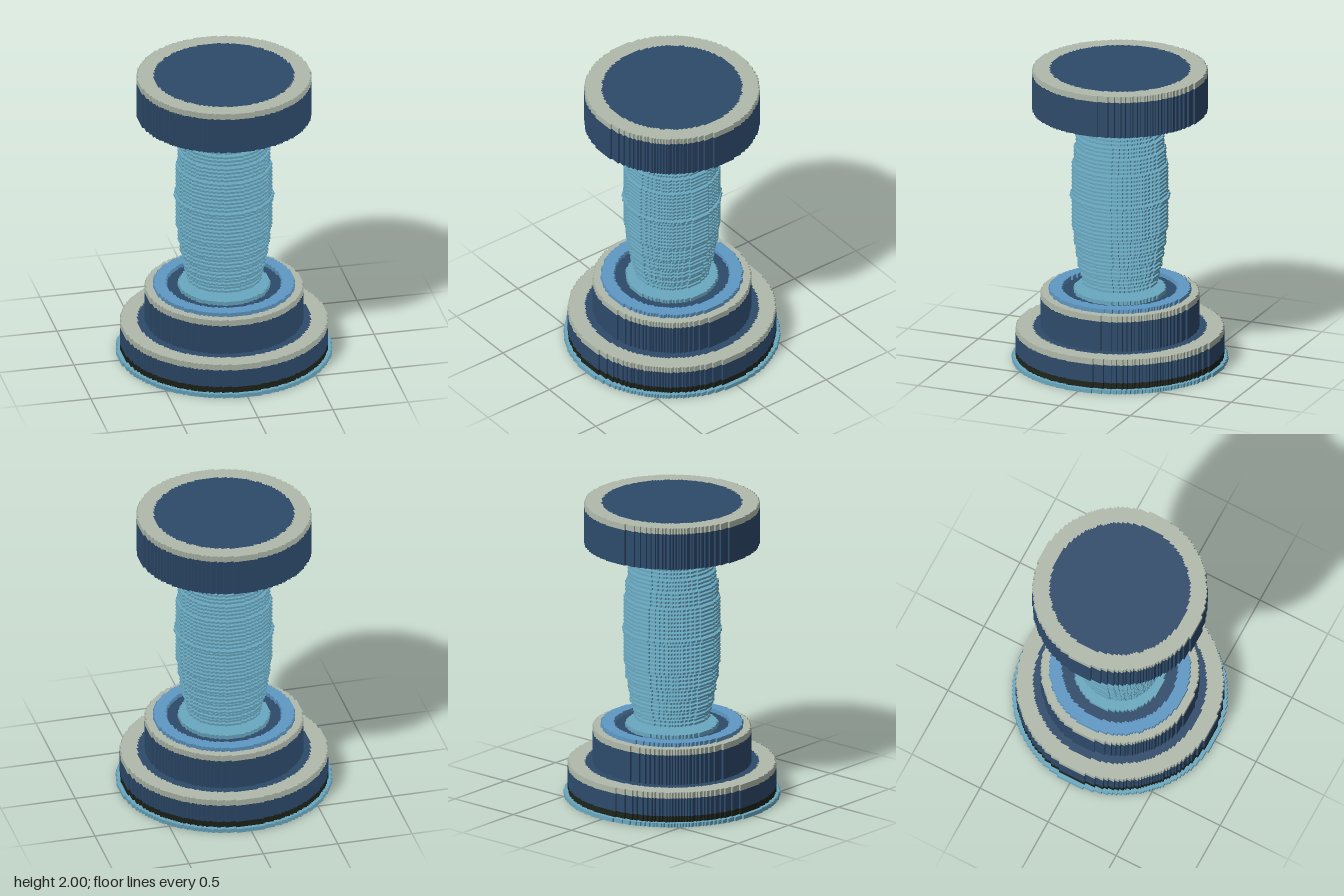
import * as THREE from 'three';

const U = 2 / 149; // edge of one grid step

const material = (name, color) => {
  const m = new THREE.MeshStandardMaterial({ color });
  m.name = name;
  return m;
};

// Stepped circle of whole grid cells, radius r in grid steps
function steppedCircle(r) {
  const half = (j) => Math.floor(Math.sqrt(r * r - (j + 0.5) ** 2) + 0.5);
  const right = [];
  for (let j = -r; j < r; j++) {
    if (j === -r || half(j) !== half(j - 1)) right.push([half(j), j]);
    if (j === r - 1 || half(j) !== half(j + 1)) right.push([half(j), j + 1]);
  }
  const left = right.map(([x, y]) => [-x, y]).reverse();
  return [...right, ...left].map(([x, y]) => new THREE.Vector2(x * U, y * U));
}

// Upright disc or ring between two grid heights
function disc(group, name, mat, y0, y1, outer, inner = 0) {
  const shape = new THREE.Shape(steppedCircle(outer));
  if (inner) shape.holes.push(new THREE.Path(steppedCircle(inner)));
  const geo = new THREE.ExtrudeGeometry(shape, { depth: (y1 - y0) * U, bevelEnabled: false });
  geo.rotateX(-Math.PI / 2);
  const mesh = new THREE.Mesh(geo, mat);
  mesh.position.y = y0 * U;
  mesh.name = name;
  group.add(mesh);
}

export function createModel() {
  const model = new THREE.Group();
  model.name = 'pedestal';
  const navy = material('navy', 0x2d4a6a);
  const pale = material('pale grey', 0xb0baac);
  const teal = material('light teal', 0x6aa9c1);
  const blue = material('sky blue', 0x5f98c4);
  const black = material('near black', 0x1d231a);

  const section = (name) => {
    const g = new THREE.Group();
    g.name = name;
    model.add(g);
    return g;
  };

  // Wide foot
  const base = section('base');
  disc(base, 'footGlow', teal, 0, 2, 52, 50);
  disc(base, 'footPlate', black, 0, 5, 50);
  disc(base, 'baseBody', navy, 5, 14, 50);
  disc(base, 'baseRim', pale, 14, 17, 50, 42);
  disc(base, 'baseTop', navy, 14, 17, 42);

  // Drum with emitter rings on top
  const drum = section('drum');
  disc(drum, 'drumBody', navy, 17, 32, 38);
  disc(drum, 'drumRim', pale, 32, 35, 38, 34);
  disc(drum, 'drumTop', navy, 32, 35, 34);
  disc(drum, 'emitterRing', blue, 35, 37, 34, 28);
  disc(drum, 'emitterPlate', teal, 35, 37, 22);
  disc(drum, 'emitterNozzle', pale, 37, 39, 7);

  // Inner column, thickest in the middle
  const core = section('core');
  [[39, 43, 4], [43, 64, 5], [64, 108, 6], [108, 124, 5]].forEach(
    ([a, b, r]) => disc(core, 'coreSegment', blue, a, b, r));

  // Stack of thin bulging discs
  const stack = section('beamDiscs');
  for (let y = 40; y <= 124; y += 2) {
    const r = Math.round(17.99 + 5.51 * Math.sin((Math.PI * (y - 40)) / 88));
    disc(stack, 'beamDisc', teal, y, y + 1, r);
  }

  // Small sparks bridging the gaps
  const sparks = section('sparks');
  const cube = new THREE.BoxGeometry(U, U, U);
  for (let k = 0; k < 8; k++) {
    const spots = k % 2 ? [[-13, 12], [-2, -11], [7, 2]] : [[10, -11], [7, 8], [-9, 3]];
    for (const [x, z] of spots) {
      const spark = new THREE.Mesh(cube, teal);
      spark.name = 'spark';
      spark.position.set((x + 0.5) * U, (45.5 + 10 * k) * U, (z + 0.5) * U);
      sparks.add(spark);
    }
  }

  // Cap with receiver rings underneath
  const cap = section('cap');
  disc(cap, 'receiverNozzle', blue, 125, 126, 12);
  disc(cap, 'receiverCollar', pale, 126, 128, 20);
  disc(cap, 'capUndersideInner', navy, 128, 129, 24);
  disc(cap, 'receiverRing', teal, 128, 129, 32, 24);
  disc(cap, 'capUndersideOuter', navy, 128, 129, 42, 32);
  disc(cap, 'capBody', navy, 129, 146, 42);
  disc(cap, 'capRim', pale, 146, 149, 42, 34);
  disc(cap, 'capTop', navy, 146, 149, 34);

  return model;
}
